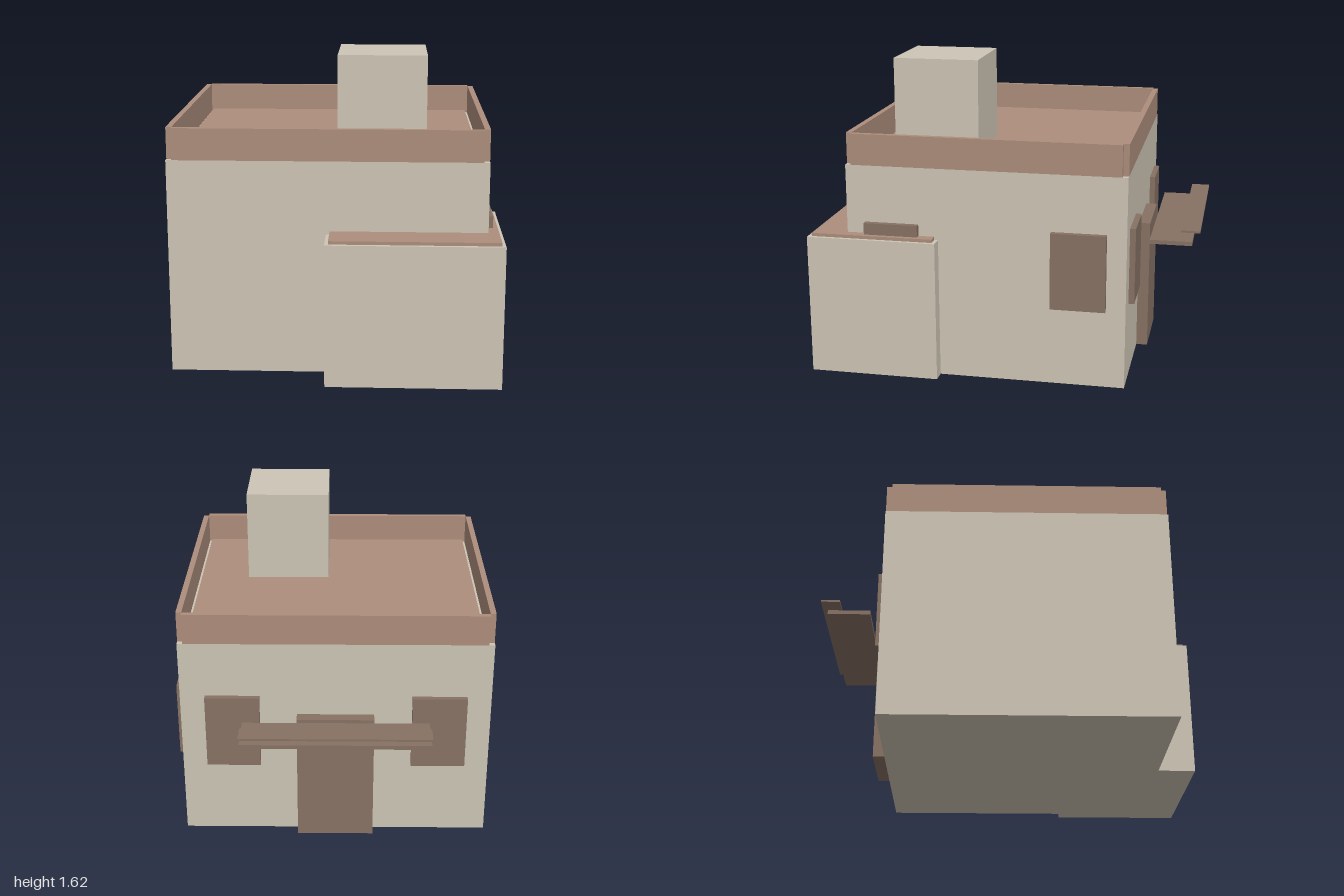
import * as THREE from 'three';

const wall = new THREE.MeshStandardMaterial({ color: 0xcdc5b5 });
const clay = new THREE.MeshStandardMaterial({ color: 0xad8e7c });
const wood = new THREE.MeshStandardMaterial({ color: 0x877264 });

// Box from its extents along each axis
function block(name, material, [x0, x1], [y0, y1], [z0, z1]) {
  const mesh = new THREE.Mesh(new THREE.BoxGeometry(x1 - x0, y1 - y0, z1 - z0), material);
  mesh.name = name;
  mesh.position.set((x0 + x1) / 2, (y0 + y1) / 2, (z0 + z1) / 2);
  return mesh;
}

export function createModel() {
  const house = new THREE.Group();
  house.name = 'house';
  const add = (...args) => house.add(block(...args));

  // Main volume and its roof
  const [L, R, B, F, H] = [-0.848, 0.772, -0.655, 0.802, 1.117];
  add('mainBody', wall, [L, R], [0, H], [B, F]);
  add('roof', clay, [L + 0.045, R - 0.045], [H, H + 0.016], [B + 0.045, F - 0.045]);

  // Parapet walls, stopping short of the corners
  const t = 0.03, top = [H, 1.28];
  add('parapetFront', clay, [L + t, R - t], top, [F - t, F]);
  add('parapetBack', clay, [L + t, R - t], top, [B, B + t]);
  add('parapetLeft', clay, [R - t, R], top, [B + t, F - t]);
  add('parapetRight', clay, [L, L + t], top, [B + t, F - t]);

  // Rooftop block
  add('rooftopBlock', wall, [0.007, 0.46], [H, 1.625], [0.172, 0.625]);

  // Low annex at the front left corner
  add('annex', wall, [-0.045, 0.845], [0, 0.74], [0.318, 1]);
  add('annexRoof', clay, [-0.026, 0.826], [0.74, 0.757], [0.338, 0.98]);

  // Windows on the left wall and the back wall
  const sill = [0.415, 0.818];
  for (const z of [-0.412, 0.563]) add('sideWindow', wood, [R, R + 0.03], sill, [z - 0.142, z + 0.142]);
  for (const x of [-0.58, 0.5]) add('backWindow', wood, [x - 0.142, x + 0.142], sill, [B - 0.03, B]);

  // Back door with floating awning slats
  add('door', wood, [-0.24, 0.164], [0, 0.71], [B - 0.06, B]);
  add('awningLower', wood, [-0.525, 0.446], [0.683, 0.705], [-0.96, -0.738]);
  add('awningUpper', wood, [-0.525, 0.446], [0.754, 0.765], [-1, -0.9]);

  return house;
}
